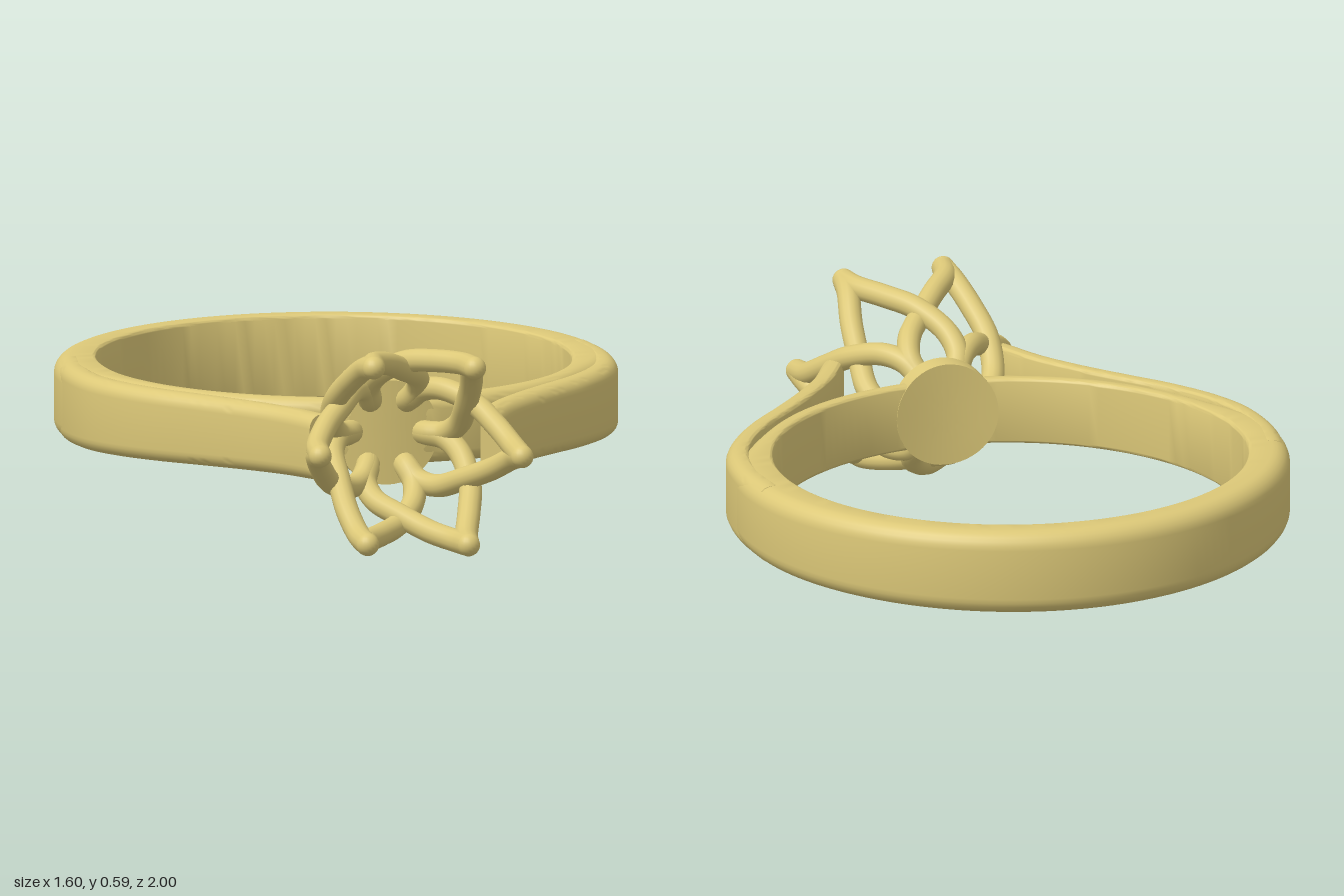
import * as THREE from 'three';
import { toCreasedNormals } from 'three/addons/utils/BufferGeometryUtils.js';

const MID = 0.31;                       // height of the ring's middle plane
const BORE = 0.675, BORE_Z = -0.225;    // finger hole radius and centre
const gold = new THREE.MeshStandardMaterial({ color: 0xdcc878 });
const halfHeight = z => THREE.MathUtils.mapLinear(z, -1, 0.76, 0.125, 0.094);

function add(parent, name, geometry) {
  const mesh = new THREE.Mesh(geometry, gold);
  mesh.name = name;
  parent.add(mesh);
  return mesh;
}

// Rounded section, counter-clockwise: u runs from the inner to the outer face
function section(t, h) {
  const ro = Math.min(0.05, t * 0.6), ri = 0.012, pts = [];
  const corners = [[ri, -h + ri, ri, 180], [t - ro, -h + ro, ro, 270], [t - ro, h - ro, ro, 0], [ri, h - ri, ri, 90]];
  for (const [u, v, r, start] of corners)
    for (let k = 0; k <= 6; k++) {
      const a = (start + k * 15) * Math.PI / 180;
      pts.push([u + r * Math.cos(a), v + r * Math.sin(a)]);
    }
  return pts;
}

// Skin a row of stations { x, z: inner point, nx, nz: outward direction, t, h }
function sweep(stations, closed) {
  const pos = [], index = [], M = 28, N = stations.length;
  for (const s of stations)
    for (const [u, v] of section(s.t, s.h)) pos.push(s.x + s.nx * u, MID + v, s.z + s.nz * u);
  for (let i = 0; i < (closed ? N : N - 1); i++)
    for (let j = 0; j < M; j++) {
      const a = i * M + j, b = i * M + (j + 1) % M, n = ((i + 1) % N) * M;
      const c = n + (j + 1) % M, d = n + j;
      index.push(a, b, c, a, c, d);
    }
  if (!closed)
    for (let j = 1; j < M - 1; j++) {
      const e = (N - 1) * M;
      index.push(0, j + 1, j, e, e + j, e + j + 1);
    }
  const g = new THREE.BufferGeometry();
  g.setAttribute('position', new THREE.Float32BufferAttribute(pos, 3));
  g.setIndex(index);
  return toCreasedNormals(g, 0.6);
}

// Full band, thickest at the sides and thin under the head
function bandGeometry() {
  const stations = [], N = 144;
  for (let i = 0; i < N; i++) {
    const a = i / N * Math.PI * 2, nx = Math.sin(a), nz = -Math.cos(a);
    const z = BORE_Z + BORE * nz;
    const t = 0.1 + 0.023 * THREE.MathUtils.smoothstep(nz, -1, 0) - 0.063 * THREE.MathUtils.smoothstep(nz, 0.05, 0.6);
    const h = halfHeight(z) - 0.003 * THREE.MathUtils.smoothstep(nz, 0, 0.3);
    stations.push({ x: BORE * nx, z, nx, nz, t, h });
  }
  return sweep(stations, true);
}

// Shoulder that leaves the band and runs forward to the head
function shoulderGeometry(side) {
  const outline = [[0.78, -0.35], [0.797, -0.18], [0.777, 0], [0.72, 0.14], [0.63, 0.275],
    [0.53, 0.39], [0.43, 0.51], [0.345, 0.63], [0.28, 0.76]];
  const curve = new THREE.CatmullRomCurve3(outline.map(([x, z]) => new THREE.Vector3(x, 0, z)));
  const stations = [], t = 0.065;
  for (let i = 0; i <= 60; i++) {
    const p = curve.getPointAt(i / 60), d = curve.getTangentAt(i / 60);
    const nx = d.z, nz = -d.x;
    stations.push({ x: side * (p.x - nx * t), z: p.z - nz * t, nx: side * nx, nz, t, h: halfHeight(p.z) });
  }
  return sweep(side > 0 ? stations : stations.reverse(), false);
}

// Round seat, bent to follow the finger hole
function seatGeometry() {
  const profile = [[0, 0], [0.05, 0], [0.1, 0], [0.15, 0], [0.15, 0.064], [0.1, 0.064], [0.05, 0.064], [0, 0.064]];
  const g = new THREE.LatheGeometry(profile.map(([x, y]) => new THREE.Vector2(x, y)), 48);
  g.rotateX(Math.PI / 2);
  const p = g.attributes.position;
  for (let i = 0; i < p.count; i++) {
    const x = p.getX(i);
    p.setZ(i, p.getZ(i) + BORE_Z - 0.003 + Math.sqrt(BORE * BORE - x * x));
  }
  g.translate(0, MID, 0);
  return toCreasedNormals(g, 0.6);
}

// One strand: from a claw tip, twisting a sixth of a turn down to the seat
function strandCurve(tip, dir) {
  const lift = dir > 0 ? 0.012 : -0.012;   // one set passes over the other
  const path = [[0.293, 0, 0.965, 0], [0.286, 3, 0.89, 0], [0.255, 14, 0.8, 0.4], [0.222, 29, 0.71, 1],
    [0.19, 47, 0.62, 0.3], [0.155, 57, 0.56, 0], [0.115, 59, 0.52, 0], [0.1, 59, 0.49, 0]];
  return new THREE.CatmullRomCurve3(path.map(([r, turn, z, w]) => {
    const a = (tip + dir * turn) * Math.PI / 180, R = r + lift * w;
    return new THREE.Vector3(R * Math.cos(a), MID + R * Math.sin(a), z);
  }));
}

export function createModel() {
  const ring = new THREE.Group();
  ring.name = 'ring';
  add(ring, 'band', bandGeometry());
  add(ring, 'leftShoulder', shoulderGeometry(1));
  add(ring, 'rightShoulder', shoulderGeometry(-1));
  add(ring, 'seat', seatGeometry());

  // Woven basket of six claws, two strands each
  const basket = new THREE.Group();
  basket.name = 'basket';
  ring.add(basket);
  const R = 0.033, ball = new THREE.SphereGeometry(R, 20, 14);
  for (let k = 0; k < 6; k++) {
    const tip = k * 60 - 2;
    for (const dir of [1, -1]) {
      const curve = strandCurve(tip, dir);
      add(basket, 'strand', new THREE.TubeGeometry(curve, 48, R, 14));
      if (dir > 0) add(basket, 'clawTip', ball).position.copy(curve.getPoint(0));
    }
  }
  return ring;
}
